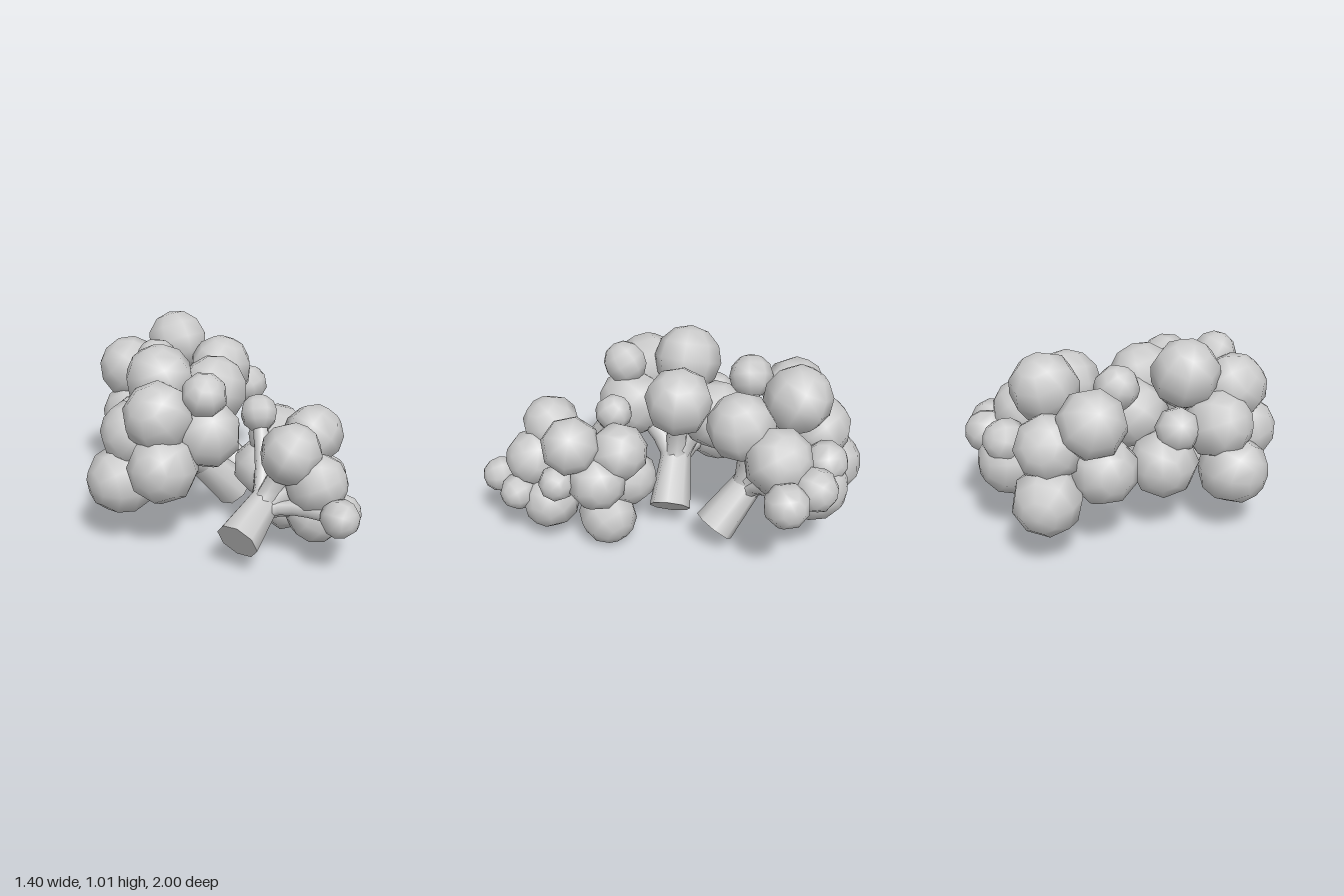
import * as THREE from 'three';

const material = new THREE.MeshStandardMaterial({ color: 0xcccccc });
const UP = new THREE.Vector3(0, 1, 0);
const vec = (a) => new THREE.Vector3(...a);

function add(group, name, geometry) {
  const mesh = new THREE.Mesh(geometry, material);
  mesh.name = name;
  group.add(mesh);
  return mesh;
}

// A stem from its cut end to the fork, with branches that end in round buds.
// All large buds of a floret share one radius, and so do its small ones.
function makeFloret(name, base, fork, largeRadius, large, smallRadius, small) {
  const group = new THREE.Group();
  group.name = name;
  const start = vec(base), end = vec(fork);
  const axis = end.clone().sub(start);

  // Thick stem, flared slightly at the cut end
  const stem = add(group, 'stem', new THREE.CylinderGeometry(0.078, 0.112, axis.length(), 8));
  stem.position.copy(start).lerp(end, 0.5);
  stem.quaternion.setFromUnitVectors(UP, axis.normalize());

  const addBuds = (centres, radius, branchRadius) => {
    for (const centre of centres.map(vec)) {
      // Branch runs along the stem, then bends out to its bud
      const path = new THREE.QuadraticBezierCurve3(
        start.clone().lerp(end, 0.45),
        start.clone().lerp(end, 1.1),
        centre,
      );
      add(group, 'branch', new THREE.TubeGeometry(path, 6, branchRadius, 7));

      // Bud with its pole facing away from the fork
      const bud = add(group, 'bud', new THREE.SphereGeometry(radius, 8, 6));
      bud.position.copy(centre);
      bud.quaternion.setFromUnitVectors(UP, centre.clone().sub(end).normalize());
    }
  };
  addBuds(large, largeRadius, 0.058);
  addBuds(small, smallRadius, 0.04);
  return group;
}

export function createModel() {
  const model = new THREE.Group();
  model.name = 'floretCluster';

  model.add(makeFloret('middleFloret', [0.18, 0.13, 0.01], [-0.07, 0.38, 0.01],
    0.185, [
      [-0.51, 0.34, 0.07], [-0.37, 0.46, 0.29], [-0.36, 0.71, 0.22],
      [-0.25, 0.82, -0.02], [-0.12, 0.6, 0.27], [0.06, 0.72, -0.02],
      [-0.42, 0.57, 0.05], [-0.05, 0.6, -0.2], [-0.27, 0.39, -0.2],
    ],
    0.12, [[-0.15, 0.82, 0.31], [-0.33, 0.58, -0.16]]));

  model.add(makeFloret('backFloret', [0.32, 0.13, -0.25], [0.18, 0.38, -0.44],
    0.18, [
      [-0.19, 0.71, -0.61], [0.12, 0.82, -0.64], [-0.09, 0.34, -0.82],
      [0.27, 0.72, -0.37], [-0.03, 0.58, -0.75], [-0.2, 0.45, -0.55],
      [0.27, 0.41, -0.75], [0.37, 0.6, -0.57],
    ],
    0.118, [
      [-0.12, 0.81, -0.38], [0.59, 0.49, -0.63], [0.46, 0.51, -0.76], [0.25, 0.54, -0.8],
    ]));

  model.add(makeFloret('frontFloret', [-0.15, 0.19, 0.69], [0.08, 0.32, 0.56],
    0.157, [
      [0.16, 0.58, 0.65], [0.38, 0.59, 0.49], [0.27, 0.43, 0.72],
      [0.33, 0.22, 0.63], [0.33, 0.15, 0.32], [0.38, 0.39, 0.36],
      [0.3, 0.53, 0.26], [0.23, 0.34, 0.23],
    ],
    0.098, [
      [0.29, 0.32, 0.91], [0.38, 0.28, 0.79], [0.43, 0.39, 0.56], [0.16, 0.68, 0.31],
    ]));

  return model;
}
